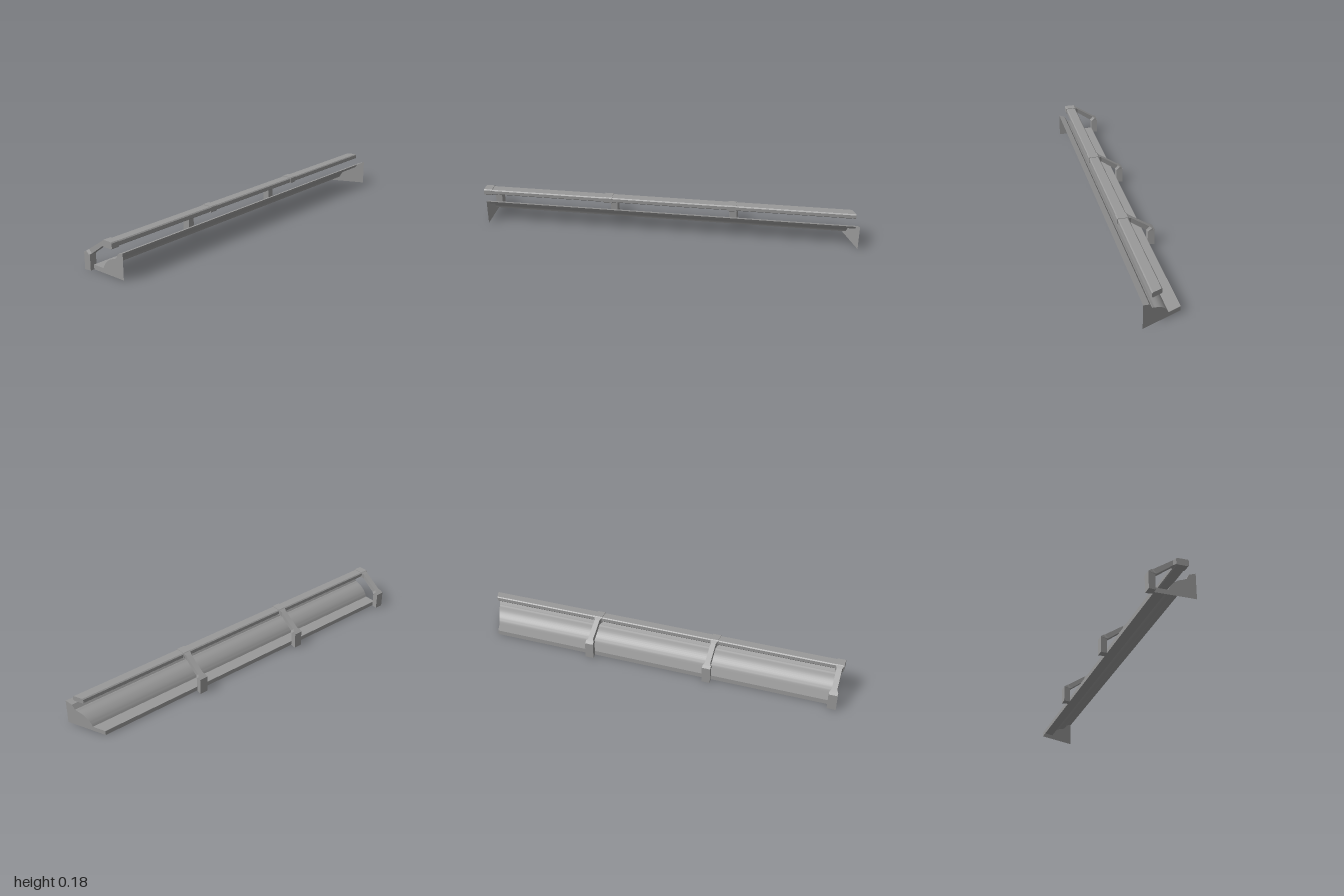
import * as THREE from 'three';
import { toCreasedNormals } from 'three/addons/utils/BufferGeometryUtils.js';

const LEFT = -0.974;
const FRONT = 0.119;
// the +x end of the ledge and rail is cut along a mitre
const mitre = (z) => 1 - (FRONT - z) * 0.42;

const solid = new THREE.MeshStandardMaterial({ color: 0x999999, flatShading: true });
const sheet = new THREE.MeshStandardMaterial({ color: 0x999999, side: THREE.DoubleSide });

function add(parent, name, geometry, material = solid) {
  const mesh = new THREE.Mesh(geometry, material);
  mesh.name = name;
  parent.add(mesh);
}

function moveVertices(geometry, rule) {
  const p = geometry.attributes.position;
  const v = new THREE.Vector3();
  for (let i = 0; i < p.count; i++) {
    v.fromBufferAttribute(p, i);
    rule(v);
    p.setXYZ(i, v.x, v.y, v.z);
  }
  geometry.computeVertexNormals();
  return geometry;
}

// extrude a (z, y) outline along x, from x0 to x1
function prism(points, x0, x1) {
  const shape = new THREE.Shape(points.map(([z, y]) => new THREE.Vector2(-z, y)));
  const g = new THREE.ExtrudeGeometry(shape, { depth: x1 - x0, bevelEnabled: false });
  return g.rotateY(Math.PI / 2).translate(x0, 0, 0);
}

// rectangle with cut corners, in (z, y)
function chamferedRect(z0, z1, y0, y1, c) {
  return [
    [z1, y0 + c], [z1, y1 - c], [z1 - c, y1], [z0 + c, y1],
    [z0, y1 - c], [z0, y0 + c], [z0 + c, y0], [z1 - c, y0],
  ];
}

// moulding section in (z, y): lip, bead, convex curve, low step
function ledgeProfile() {
  const curve = new THREE.SplineCurve([
    [0.063, 0.09], [0.032, 0.079], [0.007, 0.061], [-0.009, 0.041], [-0.017, 0.024],
  ].map(([z, y]) => new THREE.Vector2(z, y)));
  return [
    [FRONT, 0.131], [0.086, 0.119], [0.072, 0.094], [0.066, 0.0925],
    ...curve.getPoints(12).map((p) => [p.x, p.y]),
    [-0.084, 0.024], [-0.084, 0],
  ];
}

// open sheet running along x between the two ends
function ledgeSheet(profile) {
  const pos = [];
  const index = [];
  profile.forEach(([z, y], i) => {
    pos.push(LEFT, y, z, mitre(z), y, z);
    if (i > 0) {
      const a = 2 * (i - 1);
      index.push(a, a + 1, a + 3, a, a + 3, a + 2);
    }
  });
  const g = new THREE.BufferGeometry();
  g.setAttribute('position', new THREE.Float32BufferAttribute(pos, 3));
  g.setIndex(index);
  return toCreasedNormals(g, 0.5);
}

function endCap(profile, xAt) {
  const outline = [[FRONT, 0], ...profile];
  const g = new THREE.ShapeGeometry(new THREE.Shape(outline.map(([z, y]) => new THREE.Vector2(z, y))));
  return moveVertices(g, (v) => v.set(xAt(v.x), v.y, v.x));
}

// arm sections from post to clamp: [top z, top y, bottom z, bottom y, half width]
const ARM = [
  [-0.118, 0.087, -0.084, 0.078, 0.022],
  [-0.104, 0.097, -0.084, 0.079, 0.022],
  [-0.092, 0.105, -0.074, 0.086, 0.014],
  [0.003, 0.168, 0.003, 0.142, 0.014],
  [0.018, 0.177, 0.018, 0.149, 0.021],
];

function createBracket(x) {
  const bracket = new THREE.Group();
  bracket.name = 'bracket';
  bracket.position.x = x;

  add(bracket, 'railClamp', prism(chamferedRect(0.016, 0.077, 0.146, 0.18, 0.005), -0.022, 0.022));

  // sloping arm, flared where it joins the clamp and the post
  const arm = new THREE.BoxGeometry(2, 2, 1, 1, 1, ARM.length - 1);
  add(bracket, 'arm', moveVertices(arm, (v) => {
    const [zt, yt, zb, yb, w] = ARM[Math.round((v.z + 0.5) * (ARM.length - 1))];
    v.set(v.x * w, v.y > 0 ? yt : yb, v.y > 0 ? zt : zb);
  }));

  // post, wider at the back, with a sloping top
  const post = prism([[-0.084, 0], [-0.084, 0.078], [-0.118, 0.087], [-0.118, 0]], -1, 1);
  add(bracket, 'post', moveVertices(post, (v) => {
    v.x *= v.z < -0.1 ? 0.023 : 0.018;
  }));
  return bracket;
}

export function createModel() {
  const model = new THREE.Group();
  model.name = 'railedLedge';

  // moulded ledge, open at the front and underneath
  const profile = ledgeProfile();
  add(model, 'ledge', ledgeSheet(profile), sheet);
  add(model, 'squareEndCap', endCap(profile, () => LEFT), sheet);
  add(model, 'mitredEndCap', endCap(profile, mitre), sheet);

  // handrail
  const rail = prism(chamferedRect(0.019, 0.074, 0.15, 0.177, 0.005), -0.99, 1);
  add(model, 'rail', moveVertices(rail, (v) => {
    if (v.x > 0) v.x = mitre(v.z);
  }));

  for (const x of [-0.977, -0.318, 0.341]) model.add(createBracket(x));
  return model;
}
